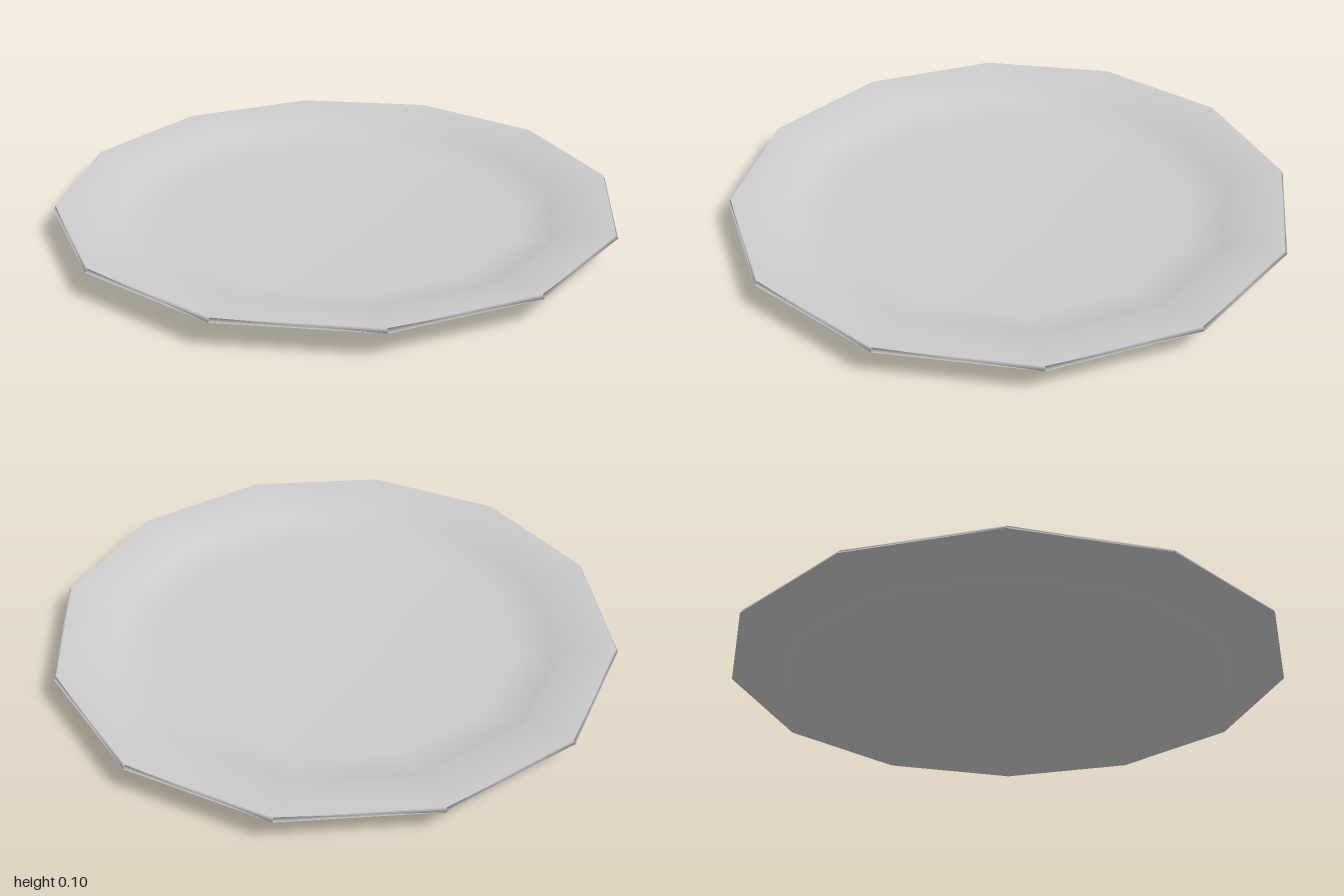
import * as THREE from 'three';

export function createModel() {
  const group = new THREE.Group();
  group.name = 'dish';

  // Closed profile: underside centre, out to the rim, back to the upper centre
  const profile = [
    [0, 0], [0.66, 0], [0.815, 0.035], [0.84, 0.06], [1, 0.085],
    [0.992, 0.098], [0.825, 0.073], [0.795, 0.045], [0.65, 0.015], [0, 0.015],
  ].map(([r, y]) => new THREE.Vector2(r, y));

  // Twelve-sided shallow plate with smooth shading
  const plate = new THREE.Mesh(
    new THREE.LatheGeometry(profile, 12),
    new THREE.MeshStandardMaterial({ color: 0xcccccc }),
  );
  plate.name = 'plate';
  group.add(plate);
  return group;
}
